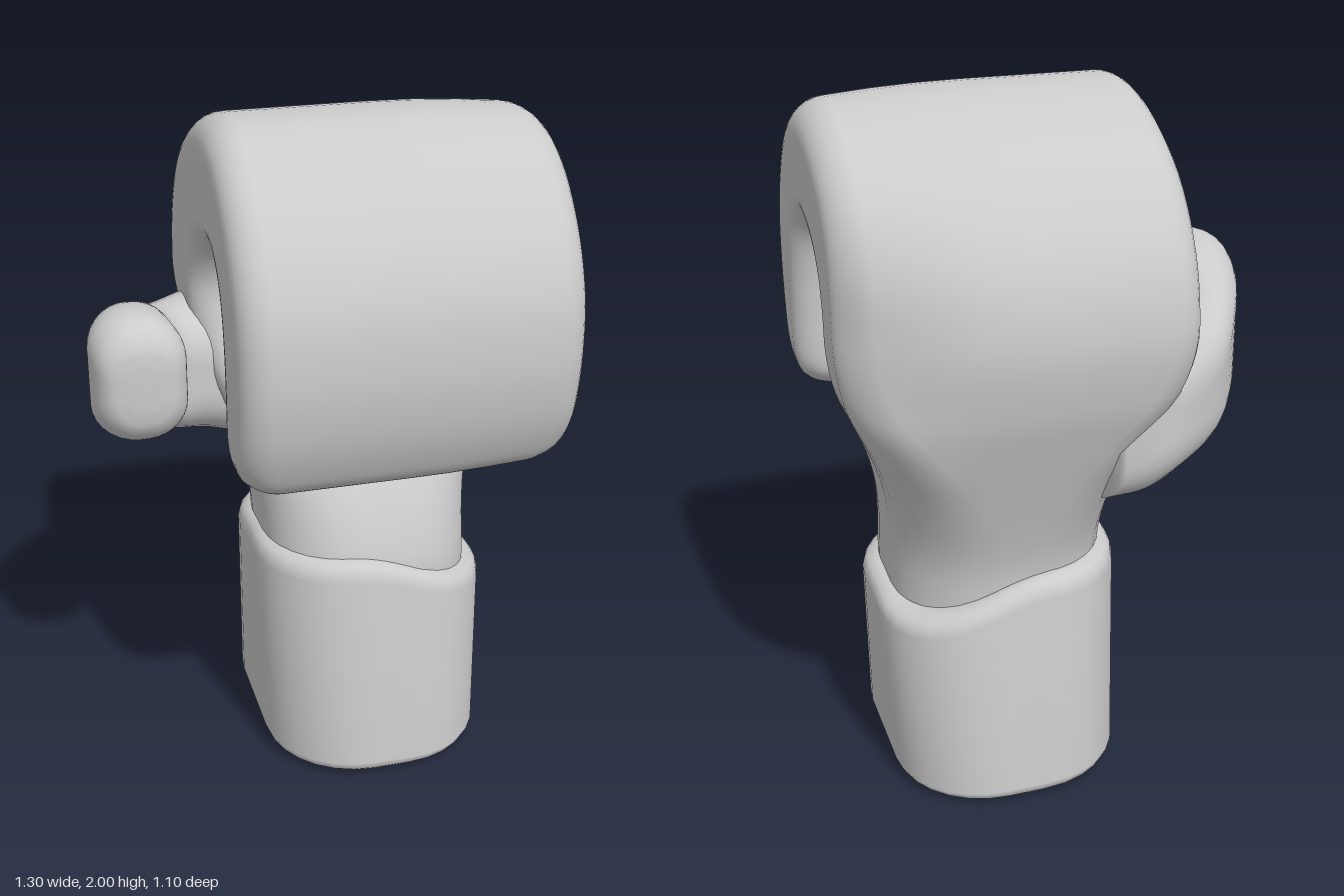
import * as THREE from 'three';

const { lerp, smoothstep } = THREE.MathUtils;
const material = new THREE.MeshStandardMaterial({ color: 0xcccccc, side: THREE.DoubleSide });

// Rounded rectangle as [a, b] pairs, counter-clockwise, always the same count
function roundRect(w, h, radius, seg = 7, div = 6) {
  const r = Math.min(radius, w / 2 - 0.002, h / 2 - 0.002);
  const corners = [[1, 1], [-1, 1], [-1, -1], [1, -1]].map(([sa, sb], k) =>
    Array.from({ length: seg + 1 }, (_, i) => {
      const t = (k + i / seg) * Math.PI / 2;
      return [sa * (w / 2 - r) + r * Math.cos(t), sb * (h / 2 - r) + r * Math.sin(t)];
    }));
  const pts = [];
  corners.forEach((arc, k) => {
    pts.push(...arc);
    const p = arc[seg], q = corners[(k + 1) % 4][0];
    for (let i = 1; i < div; i++) pts.push([lerp(p[0], q[0], i / div), lerp(p[1], q[1], i / div)]);
  });
  return pts;
}

// Smooth closed skin over a list of rings (arrays of Vector3)
function loft(name, rings) {
  const n = rings[0].length, pos = [], index = [];
  rings.forEach(ring => ring.forEach(p => pos.push(p.x, p.y, p.z)));
  for (let j = 0; j < rings.length - 1; j++) {
    for (let i = 0; i < n; i++) {
      const a = j * n + i, b = j * n + (i + 1) % n;
      index.push(a, b, a + n, b, b + n, a + n);
    }
  }
  [0, rings.length - 1].forEach((j, end) => {
    const c = rings[j].reduce((s, p) => s.add(p), new THREE.Vector3()).divideScalar(n);
    const ci = pos.length / 3;
    pos.push(c.x, c.y, c.z);
    for (let i = 0; i < n; i++) {
      const a = j * n + i, b = j * n + (i + 1) % n;
      if (end) index.push(a, b, ci); else index.push(b, a, ci);
    }
  });
  const geo = new THREE.BufferGeometry();
  geo.setAttribute('position', new THREE.Float32BufferAttribute(pos, 3));
  geo.setIndex(index);
  geo.computeVertexNormals();
  const mesh = new THREE.Mesh(geo, material);
  mesh.name = name;
  return mesh;
}

// Smooth curve through a list of points, sampled evenly by station
function sample(points, count) {
  const curve = new THREE.CatmullRomCurve3(
    points.map(p => new THREE.Vector3(...p)), false, 'catmullrom', 0.5);
  return Array.from({ length: count + 1 }, (_, i) => curve.getPoint(i / count));
}

// Wrist, back of the hand and curled fingers in one sweep
function makeHand() {
  // y, z of the outer line, from the wrist over the knuckles to the fingertips
  const outerLine = [
    [0.50, -0.36], [0.70, -0.365], [0.92, -0.425], [1.10, -0.485], [1.25, -0.53], [1.44, -0.55],
    [1.64, -0.50], [1.83, -0.36], [1.96, -0.14], [2.00, 0.08], [1.94, 0.27], [1.79, 0.43],
    [1.61, 0.525], [1.42, 0.55], [1.25, 0.53], [1.125, 0.485], [1.07, 0.445], [1.05, 0.40],
  ];
  // y, z of the inner line, station by station
  const innerLine = [
    [0.50, 0.27], [0.70, 0.26], [0.92, 0.165], [1.09, 0.02], [1.23, -0.095], [1.41, -0.155],
    [1.53, -0.125], [1.60, -0.05], [1.63, 0.05], [1.63, 0.12], [1.60, 0.18], [1.53, 0.225],
    [1.43, 0.245], [1.32, 0.25], [1.20, 0.25], [1.12, 0.255], [1.075, 0.285], [1.052, 0.34],
  ];
  const count = 85;
  const inners = sample(innerLine.map(p => [0, ...p]), count);
  const rings = sample(outerLine.map(p => [0, ...p]), count).map((outer, i) => {
    const inner = inners[i], f = i / count * (outerLine.length - 1);
    // the wrist widens into the fist, the fingertips round off
    const spread = smoothstep(f, 1, 5), tip = 0.11 * (Math.max(0, f - 14) / 3) ** 2;
    const x0 = lerp(-0.15, -0.315, spread) + tip, x1 = lerp(0.47, 0.645, spread) - tip;
    const bulge = 0.03 + 0.15 * Math.exp(-(((f - 5) / 1.6) ** 2));
    const w = outer.distanceTo(inner), h = x1 - x0;
    const dir = inner.clone().sub(outer).normalize();
    const mid = outer.clone().lerp(inner, 0.5);
    return roundRect(w, h, lerp(0.24, 0.09, spread)).map(([a, b]) => {
      // the outer face falls away towards +x
      const k = Math.max(0, b / (h / 2));
      const shift = bulge * k * k * (0.5 - a / w);
      return mid.clone().addScaledVector(dir, a + shift).setX((x0 + x1) / 2 + b);
    });
  });
  return loft('hand', rings);
}

// Thumb, rooted inside the hand and curving forward
function makeThumb() {
  // lower outer corner and upper inner corner of each section
  const low = [
    [-0.10, 0.90, -0.47], [-0.20, 0.91, -0.49], [-0.31, 0.95, -0.465], [-0.45, 0.985, -0.35],
    [-0.55, 1.03, -0.20], [-0.62, 1.075, -0.05], [-0.65, 1.11, 0.08], [-0.64, 1.14, 0.17],
    [-0.61, 1.19, 0.217], [-0.56, 1.25, 0.23],
  ];
  const high = [
    [-0.05, 1.36, -0.20], [-0.15, 1.38, -0.16], [-0.26, 1.37, -0.13], [-0.34, 1.37, -0.10],
    [-0.385, 1.42, -0.07], [-0.40, 1.47, -0.02], [-0.40, 1.50, 0.08], [-0.39, 1.49, 0.17],
    [-0.42, 1.44, 0.217], [-0.47, 1.38, 0.23],
  ];
  const highs = sample(high, 45);
  const rings = sample(low, 45).map((lo, i) => {
    const hi = highs[i];
    const dir = hi.clone().sub(lo).setY(0);
    const w = dir.length(), mid = lo.clone().lerp(hi, 0.5);
    dir.normalize();
    return roundRect(w, hi.y - lo.y, 0.45 * w).map(([a, b]) =>
      mid.clone().addScaledVector(dir, a).setY(mid.y + b));
  });
  return loft('thumb', rings);
}

// Flared cuff with a soft rim that dips on the +x side
function makeCuff() {
  // height as a fraction of the rim, inset
  const profile = [
    [0, 0.06], [0.003, 0.045], [0.015, 0.025], [0.035, 0.01], [0.07, 0], [0.5, 0],
    [0.92, 0], [0.96, 0.005], [0.985, 0.016], [1, 0.035], [1, 0.055], [0.985, 0.075], [0.94, 0.1],
  ];
  const rings = profile.map(([t, inset]) => {
    const x0 = lerp(-0.168, -0.186, t) + inset, x1 = lerp(0.50, 0.522, t) - inset;
    const z0 = lerp(-0.49, -0.42, t) + inset, z1 = lerp(0.375, 0.30, t) - inset;
    return roundRect(z1 - z0, x1 - x0, 0.27 - inset * 0.5).map(([a, b]) => {
      const x = (x0 + x1) / 2 + b, z = (z0 + z1) / 2 + a;
      const rim = 0.715 - 0.13 * smoothstep(x, 0.05, 0.52) - 0.03 * smoothstep(-z, -0.1, 0.4);
      return new THREE.Vector3(x, t * rim, z);
    });
  });
  return loft('cuff', rings);
}

export function createModel() {
  const group = new THREE.Group();
  group.name = 'glove';
  group.add(makeHand(), makeThumb(), makeCuff());
  return group;
}
